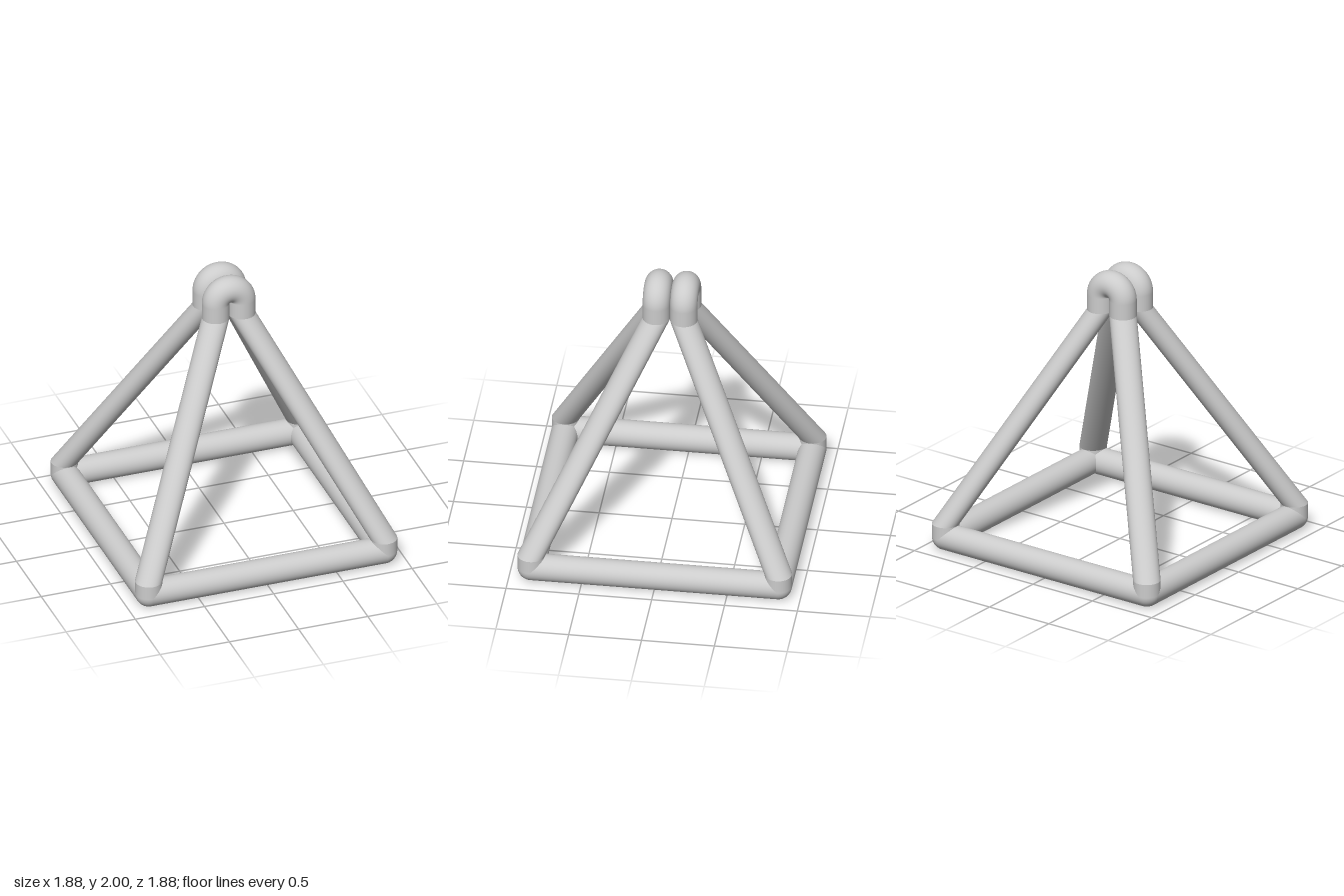
import * as THREE from 'three';

const R = 0.094;        // tube radius
const C = 0.848;        // corner offset of the base
const T = 0.094;        // offset of the tubes at the top
const LEG_LOW = 0.19, LEG_HIGH = 1.70, ARCH_Y = 2 - T - R;
const SIDES = 40;

const material = new THREE.MeshStandardMaterial({ color: 0xcccccc });

function add(parent, name, geometry, x = 0, y = 0, z = 0) {
  const mesh = new THREE.Mesh(geometry, material);
  mesh.name = name;
  mesh.position.set(x, y, z);
  parent.add(mesh);
  return mesh;
}

// Tube with horizontal circular ends, sheared to run from point a to point b
function shearedTube(a, b) {
  const h = b.y - a.y;
  const geometry = new THREE.CylinderGeometry(R, R, h, SIDES, 1, true);
  geometry.translate(0, h / 2, 0);
  return geometry.applyMatrix4(new THREE.Matrix4().set(
    1, (b.x - a.x) / h, 0, a.x,
    0, 1, 0, a.y,
    0, (b.z - a.z) / h, 1, a.z,
    0, 0, 0, 1));
}

export function createModel() {
  const model = new THREE.Group();
  model.name = 'pyramidFrame';

  // Four legs: rounded foot, short upright, slanted tube, short upright at the top
  for (const sx of [-1, 1]) {
    for (const sz of [-1, 1]) {
      const leg = new THREE.Group();
      leg.name = (sz > 0 ? 'front' : 'back') + (sx > 0 ? 'Left' : 'Right') + 'Leg';
      model.add(leg);
      const point = (offset, y) => new THREE.Vector3(sx * offset, y, sz * offset);
      const path = [point(C, R), point(C, LEG_LOW), point(T, LEG_HIGH), point(T, ARCH_Y)];
      const names = ['footUpright', 'slantedTube', 'topUpright'];
      names.forEach((name, i) => add(leg, name, shearedTube(path[i], path[i + 1])));
      add(leg, 'roundedCorner', new THREE.SphereGeometry(R, SIDES, 24), sx * C, R, sz * C);
    }
  }

  // Square base of four round bars
  for (const s of [-1, 1]) {
    const barX = add(model, s > 0 ? 'frontBaseBar' : 'backBaseBar',
      new THREE.CylinderGeometry(R, R, 2 * C, SIDES, 1, true), 0, R, s * C);
    barX.rotation.z = Math.PI / 2;
    const barZ = add(model, s > 0 ? 'leftBaseBar' : 'rightBaseBar',
      new THREE.CylinderGeometry(R, R, 2 * C, SIDES, 1, true), s * C, R, 0);
    barZ.rotation.x = Math.PI / 2;
  }

  // Two half-ring bends, each joining a left and a right leg
  for (const s of [-1, 1]) {
    add(model, s > 0 ? 'frontTopBend' : 'backTopBend',
      new THREE.TorusGeometry(T, R, SIDES, 40, Math.PI), 0, ARCH_Y, s * T);
  }

  return model;
}
